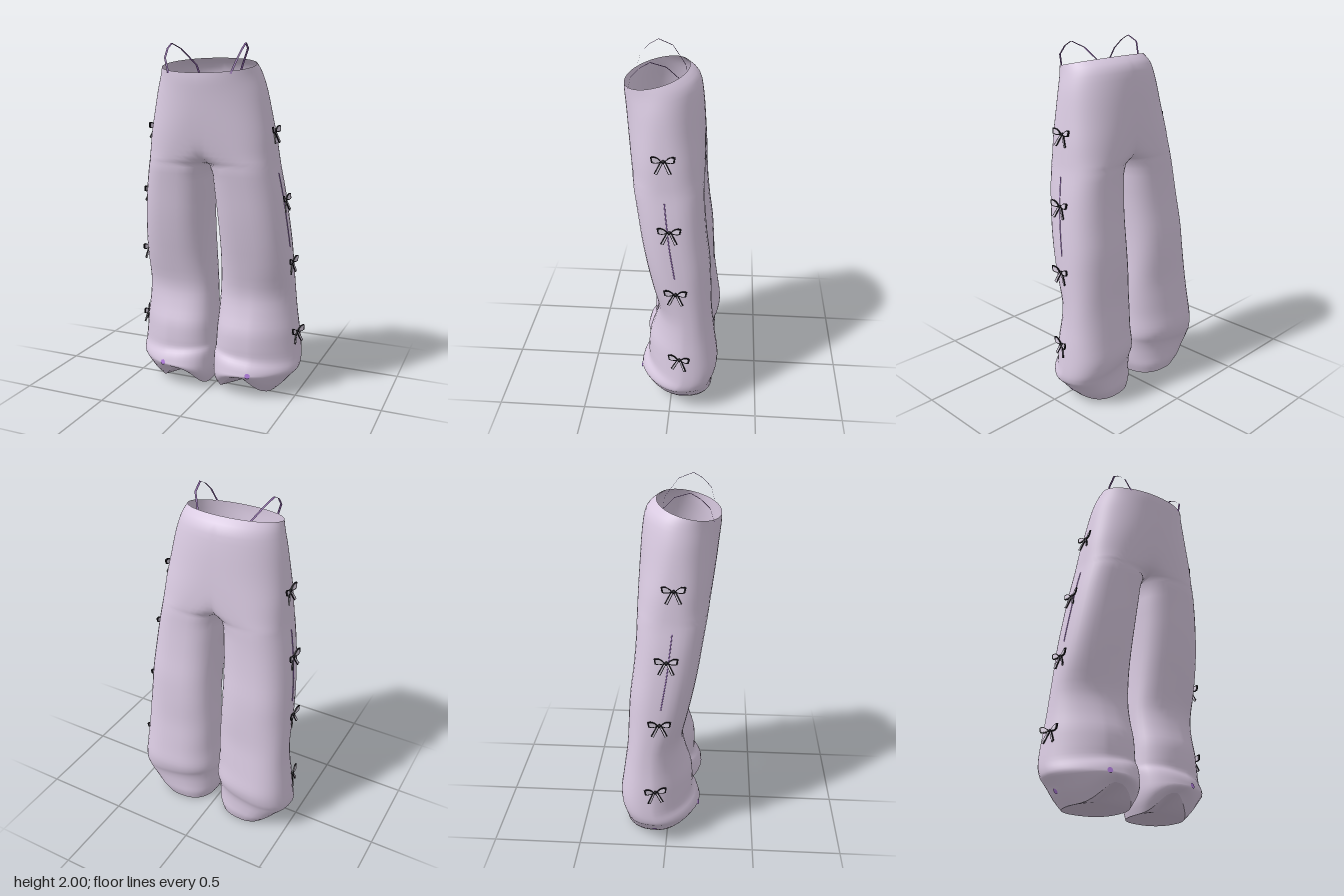
import * as THREE from 'three';
import { mergeVertices } from 'three/addons/utils/BufferGeometryUtils.js';

const mat = (name, color, side = THREE.FrontSide) => {
  const m = new THREE.MeshStandardMaterial({ color, side });
  m.name = name;
  return m;
};
const smooth = THREE.MathUtils.smoothstep;

// Sections of one trouser half: height, centre x, outer x, front z, back z, sideways skew
const ROWS = [
  [0.00, 0.20, 0.36, 0.13, -0.22, -0.01],
  [0.05, 0.215, 0.41, 0.165, -0.235, -0.015],
  [0.10, 0.23, 0.45, 0.182, -0.237, -0.02],
  [0.15, 0.247, 0.487, 0.18, -0.24, -0.02],
  [0.19, 0.251, 0.497, 0.165, -0.247, -0.02],
  [0.23, 0.251, 0.497, 0.14, -0.26, -0.02],
  [0.29, 0.249, 0.49, 0.138, -0.266, -0.02],
  [0.38, 0.247, 0.48, 0.13, -0.253, -0.02],
  [0.48, 0.243, 0.467, 0.10, -0.24, -0.015],
  [0.60, 0.24, 0.457, 0.08, -0.226, -0.01],
  [0.75, 0.24, 0.45, 0.108, -0.22, 0],
  [0.90, 0.236, 0.44, 0.14, -0.21, 0],
  [1.05, 0.226, 0.425, 0.168, -0.19, 0],
  [1.20, 0.211, 0.405, 0.19, -0.176, 0],
  [1.33, 0.19, 0.381, 0.21, -0.17, 0],
  [1.40, 0.13, 0.372, 0.22, -0.17, 0],
  [1.50, 0.06, 0.36, 0.235, -0.168, 0],
  [1.61, 0.015, 0.341, 0.25, -0.163, 0],
  [1.72, 0, 0.317, 0.262, -0.152, 0],
  [1.80, 0, 0.29, 0.27, -0.13, 0],
  [1.845, 0, 0.272, 0.27, -0.075, 0],
];
const SUB = 3, AROUND = 36;

// Smoothly interpolated section at fractional row index f
function section(f) {
  const last = ROWS.length - 1;
  const i = Math.min(Math.floor(f), last - 1), t = f - i;
  const row = k => ROWS[Math.max(0, Math.min(last, k))];
  return ROWS[0].map((_, c) => {
    const a = row(i - 1)[c], b = row(i)[c], d = row(i + 1)[c], e = row(i + 2)[c];
    const m0 = (d - a) / 2, m1 = (e - b) / 2;
    return b + m0 * t + (3 * (d - b) - 2 * m0 - m1) * t * t + (2 * (b - d) + m0 + m1) * t * t * t;
  });
}

const rowAt = y => {
  let i = 0;
  while (i < ROWS.length - 2 && ROWS[i + 1][0] < y) i++;
  return i + (y - ROWS[i][0]) / (ROWS[i + 1][0] - ROWS[i][0]);
};

// Point on the cloth: closed boxy ring on the legs, arc ending at x = 0 above the crotch
function clothPoint(f, u) {
  const [y, cx, xo, zf, zb, skew] = section(f);
  const rx = xo - cx;
  const boxy = 0.8 + 0.18 * smooth(y, 1.45, 1.8);
  const reach = THREE.MathUtils.clamp(cx / rx, 0, 1) ** (1 / boxy);
  const limit = f <= 14 ? Math.PI : Math.acos(-reach);
  const a = u * limit;
  // The outer front corner is cut away towards the ankle
  const outerFront = Math.cos(a) > 0 && Math.sin(a) > 0;
  const p = outerFront ? boxy + 0.4 * (1 - smooth(y, 0.3, 0.95)) : boxy;
  const soft = v => Math.sign(v) * Math.abs(v) ** p;
  const c = soft(Math.cos(a)), s = soft(Math.sin(a));
  const x = Math.max(0, cx + rx * c);
  const z = (zf + zb) / 2 + (zf - zb) / 2 * s + skew * c;
  const arch = 0.11 * Math.max(0, 1 - y / 0.15) * Math.max(0, s) ** 4;
  const fold = -0.025 * c * Math.exp(-(((y - 0.2) / 0.06) ** 2));
  const tilt = 0.075 * smooth(y, 1.55, 1.845) * (1 - s) / 2;
  return new THREE.Vector3(x, Math.max(0, y + arch + fold + tilt), z);
}

function finish(pos, idx) {
  let g = new THREE.BufferGeometry();
  g.setAttribute('position', new THREE.Float32BufferAttribute(pos, 3));
  g.setIndex(idx);
  g = mergeVertices(g, 1e-4);
  g.computeVertexNormals();
  return g;
}

function trousersGeometry() {
  const pos = [], idx = [];
  const levels = (ROWS.length - 1) * SUB;
  for (const side of [1, -1]) {
    const base = pos.length / 3;
    for (let j = 0; j <= levels; j++) {
      for (let i = 0; i <= AROUND; i++) {
        const p = clothPoint(j / SUB, -1 + 2 * i / AROUND);
        pos.push(p.x * side, p.y, p.z);
      }
    }
    for (let j = 0; j < levels; j++) {
      for (let i = 0; i < AROUND; i++) {
        const a = base + j * (AROUND + 1) + i, b = a + 1;
        const c = a + AROUND + 1, d = c + 1;
        if (side > 0) idx.push(a, c, b, b, c, d);
        else idx.push(a, b, c, b, d, c);
      }
    }
  }
  return finish(pos, idx);
}

// Downward-facing sheet closing the hem of one leg
function soleGeometry(side) {
  const pos = [0.2 * side, 0.04, -0.05], idx = [];
  for (let i = 0; i <= AROUND; i++) {
    const p = clothPoint(0, -1 + 2 * i / AROUND);
    pos.push(p.x * side, p.y, p.z);
    if (i > 0) idx.push(0, ...(side > 0 ? [i, i + 1] : [i + 1, i]));
  }
  return finish(pos, idx);
}

// Flat ribbon through the given points, spread along x
function ribbonGeometry(points, halfWidth) {
  const pos = [], idx = [];
  points.forEach(([x, y, z], i) => {
    pos.push(x - halfWidth, y, z, x + halfWidth, y, z);
    const a = 2 * i;
    if (i > 0) idx.push(a - 2, a - 1, a, a - 1, a + 1, a);
  });
  return finish(pos, idx);
}

// Puts an object on the cloth, facing outward
function placeOnCloth(obj, side, y, u, lift) {
  const f = rowAt(y), e = 0.02;
  const p = clothPoint(f, u);
  const up = clothPoint(f + e, u).sub(clothPoint(f - e, u));
  const along = clothPoint(f, u + e).sub(clothPoint(f, u - e));
  const n = up.cross(along).normalize();
  p.addScaledVector(n, lift);
  p.x *= side;
  n.x *= side;
  obj.position.copy(p);
  obj.lookAt(p.clone().add(n));
}

const plate = (shape, depth) =>
  new THREE.ExtrudeGeometry(shape, { depth, bevelEnabled: false, curveSegments: 6 });

// Bow wing outline, shrunk by k about its middle
function loopShape(k) {
  const at = (x, y) => [0.037 + (x - 0.037) * k, 0.009 + (y - 0.009) * k];
  const s = new THREE.Shape();
  s.moveTo(...at(0.006, 0));
  s.bezierCurveTo(...at(0.025, 0.026), ...at(0.05, 0.034), ...at(0.066, 0.026));
  s.lineTo(...at(0.06, -0.002));
  s.bezierCurveTo(...at(0.045, -0.01), ...at(0.02, -0.008), ...at(0.006, 0));
  return s;
}

function tailShape(x, w) {
  return new THREE.Shape([[x, -0.004], [x + 0.03, -0.066], [x + w + 0.03, -0.06], [x + w, -0.004]]
    .map(([px, py]) => new THREE.Vector2(px, py)));
}

function makeBow(black, pale) {
  const bow = new THREE.Group();
  bow.name = 'bow';
  const add = (parent, name, geo, m, z) => {
    const mesh = new THREE.Mesh(geo, m);
    mesh.name = name;
    mesh.position.z = z;
    parent.add(mesh);
  };
  for (const [turn, z] of [[-0.2, 0], [Math.PI + 0.2, 0.008]]) {
    const half = new THREE.Group();
    half.name = 'bowHalf';
    half.rotation.y = turn;
    half.position.z = z;
    add(half, 'bowLoop', plate(loopShape(1), 0.007), black, 0.0005);
    add(half, 'bowLoopLining', plate(loopShape(0.7), 0.009), pale, -0.0005);
    add(half, 'bowTail', plate(tailShape(0, 0.015), 0.006), black, 0.001);
    add(half, 'bowTailStripe', plate(tailShape(0.004, 0.007), 0.008), pale, 0);
    bow.add(half);
  }
  add(bow, 'bowKnot', new THREE.SphereGeometry(0.01, 8, 6), black, 0.006);
  return bow;
}

export function createModel() {
  const model = new THREE.Group();
  model.name = 'trousers';
  const lilac = mat('lilac cloth', 0xd9cae1, THREE.DoubleSide);
  const lining = mat('lilac hem lining', 0xcbbcd2);
  const black = mat('black ribbon', 0x17151a);
  const pale = mat('pale ribbon', 0xd9cfe0);
  const plum = mat('plum cord', 0x7a5694, THREE.DoubleSide);
  const violet = mat('violet trim', 0xb47fe0);

  const addMesh = (name, geo, m) => {
    const mesh = new THREE.Mesh(geo, m);
    mesh.name = name;
    model.add(mesh);
    return mesh;
  };
  addMesh('trouserCloth', trousersGeometry(), lilac);

  for (const side of [1, -1]) {
    addMesh('hemSole', soleGeometry(side), lining);

    // Bows down the outer seam
    for (const [y, u] of [[1.53, 0], [1.15, 0], [0.79, 0.02], [0.37, 0.05]]) {
      const bow = makeBow(black, pale);
      placeOnCloth(bow, side, y, u, 0.002);
      model.add(bow);
    }

    // Cord loop standing above the waistband
    const cord = [[0.18, 1.84, 0.232], [0.21, 1.92, 0.21], [0.218, 1.97, 0.16], [0.218, 1.998, 0.11],
      [0.2, 1.97, 0.03], [0.14, 1.88, -0.045], [0.085, 1.72, -0.06]]
      .map(([x, y, z]) => [x * side, y, z]);
    addMesh('waistCord', ribbonGeometry(cord, 0.006), plum);

    // Thin trim showing along the outer seam
    const seam = [];
    for (let y = 0.88; y < 1.32; y += 0.06) {
      const p = clothPoint(rowAt(y), 0.01);
      seam.push(new THREE.Vector3(p.x * side, p.y, p.z));
    }
    addMesh('seamTrim',
      new THREE.TubeGeometry(new THREE.CatmullRomCurve3(seam), 16, 0.003, 5), violet);

    // Small spots near the hem
    for (const [y, u] of [[0.15, 0.46], [0.07, -0.02]]) {
      const spot = addMesh('hemSpot', new THREE.CircleGeometry(0.016, 8), violet);
      placeOnCloth(spot, side, y, u, 0.003);
    }
  }
  return model;
}
